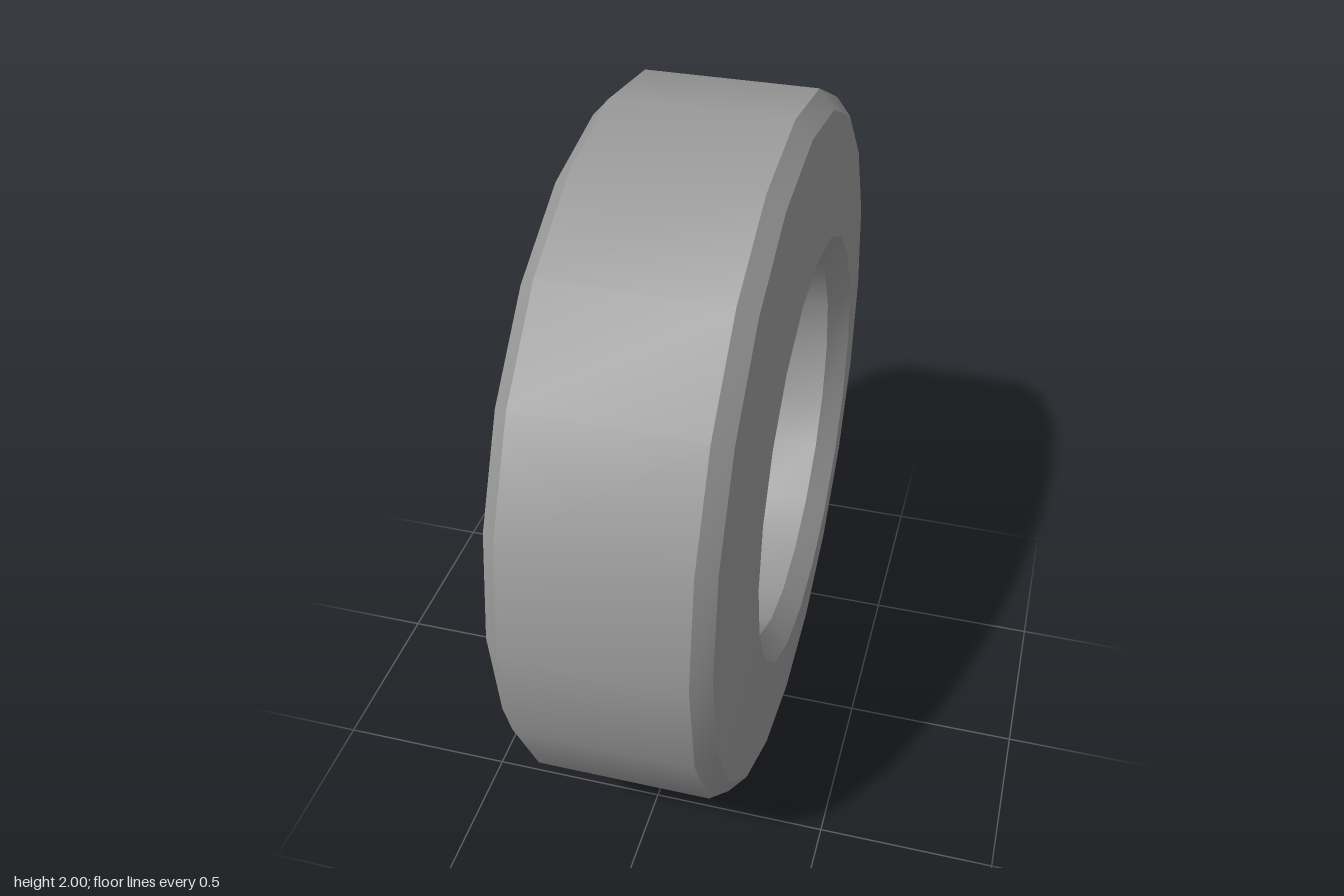
import * as THREE from 'three';
import { toCreasedNormals } from 'three/addons/utils/BufferGeometryUtils.js';

const SIDES = 20;

export function createModel() {
  const wheel = new THREE.Group();
  wheel.name = 'wheel';
  const material = new THREE.MeshStandardMaterial({ color: 0x999999 });

  // Revolve [radius, x] points around the x axle, ordered from -x to +x over the outside
  function revolve(name, profile) {
    const points = profile.map(([r, x]) => new THREE.Vector2(r, x));
    const geometry = new THREE.LatheGeometry(points, SIDES).rotateZ(-Math.PI / 2);
    const mesh = new THREE.Mesh(toCreasedNormals(geometry, 0.6), material);
    mesh.name = name;
    mesh.position.y = 1;
    wheel.add(mesh);
  }

  // Tyre: tread, chamfered shoulders, sloping sidewalls and bevelled rim lips
  const half = [[1, 0.24], [0.95, 0.285], [0.612, 0.315], [0.543, 0.26]];
  const mirrored = half.map(([r, x]) => [r, -x]).reverse();
  revolve('tyre', [...mirrored, ...half]);

  // Inner side: deep well with a flat floor
  revolve('innerWell', [[0.543, 0.26], [0.543, 0.1], [0, 0.1]]);

  // Outer side: raised hubcap ring, dished towards a sunken flat centre
  revolve('hubcap', [[0, -0.185], [0.235, -0.185], [0.315, -0.255], [0.47, -0.285], [0.543, -0.26]]);

  return wheel;
}
